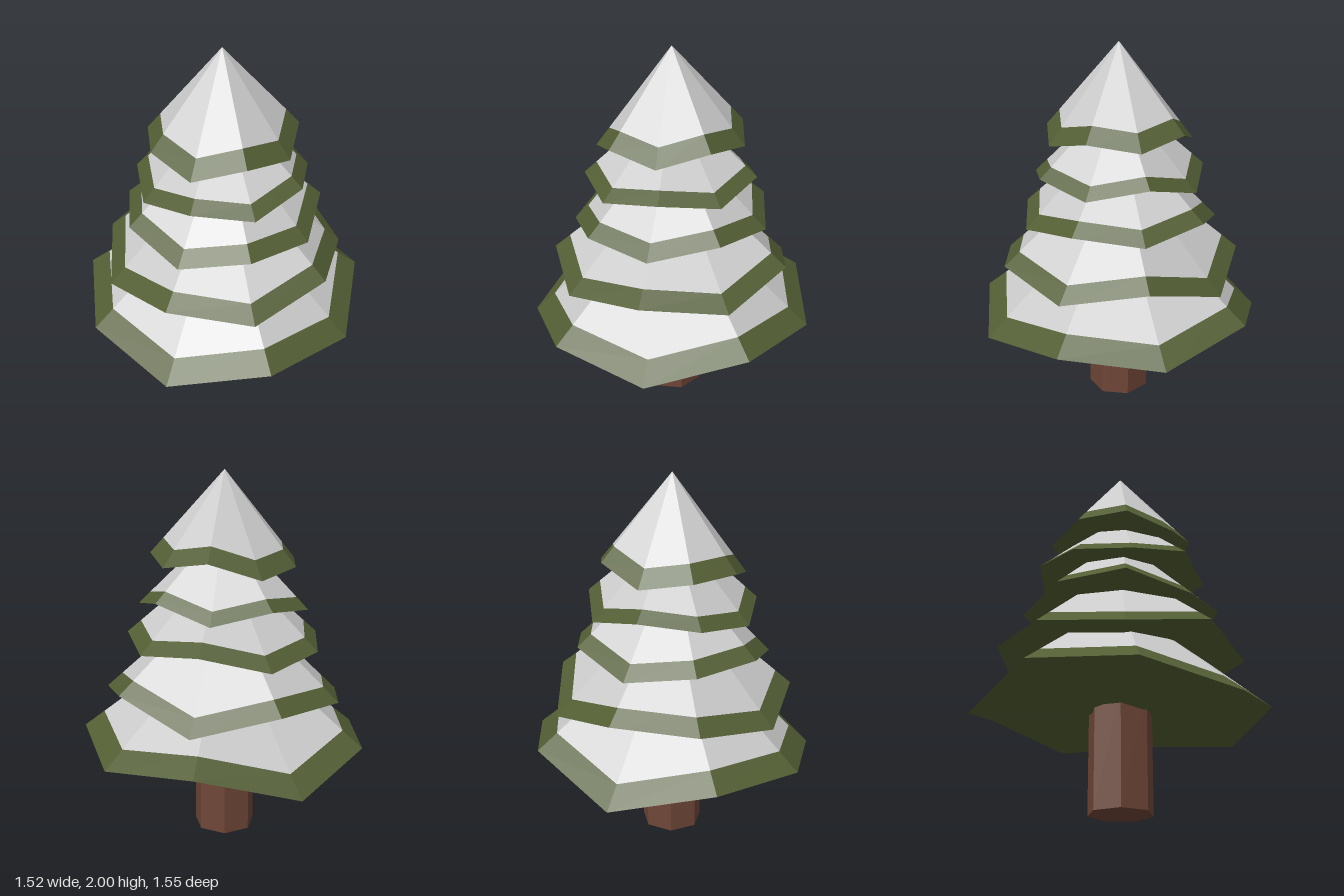
import * as THREE from 'three';

const SIDES = 9;
const CENTRE_X = -0.023;

const snowMat = new THREE.MeshStandardMaterial({ color: 0xcccccc, flatShading: true });
const leafMat = new THREE.MeshStandardMaterial({ color: 0x535e34, flatShading: true });
const barkMat = new THREE.MeshStandardMaterial({ color: 0x6f4637, flatShading: true });

// Each tier: rim radius, turn in degrees, apex height, snow share of the slope, rim heights
const TIERS = [
  { r: 0.785, turn: 0, apex: 1.18, snow: 0.86, rim: [0.525, 0.585, 0.49, 0.545, 0.45, 0.525, 0.565, 0.455, 0.6] },
  { r: 0.658, turn: 4, apex: 1.40, snow: 0.87, rim: [0.89, 0.805, 0.865, 0.785, 0.84, 0.755, 0.82, 0.85, 0.755] },
  { r: 0.533, turn: 3, apex: 1.58, snow: 0.86, rim: [1.085, 1.125, 1.06, 1.09, 1.03, 1.10, 1.08, 1.04, 1.13] },
  { r: 0.462, turn: -2, apex: 1.74, snow: 0.86, rim: [1.355, 1.295, 1.34, 1.285, 1.325, 1.26, 1.29, 1.33, 1.27] },
  { r: 0.396, turn: 1, apex: 2.0, snow: 0.82, rim: [1.525, 1.565, 1.50, 1.545, 1.47, 1.525, 1.515, 1.48, 1.57] },
];

function meshFromTriangles(name, points, material) {
  const geometry = new THREE.BufferGeometry().setFromPoints(points);
  geometry.computeVertexNormals();
  const mesh = new THREE.Mesh(geometry, material);
  mesh.name = name;
  return mesh;
}

function createTier({ r, turn, apex, snow, rim }) {
  const top = new THREE.Vector3(0, apex, 0);
  const base = new THREE.Vector3(0, rim.reduce((a, b) => a + b) / SIDES, 0);

  // Uneven rim, and the snow line part of the way up the slope
  const outer = rim.map((y, k) => {
    const a = THREE.MathUtils.degToRad(turn + (k * 360) / SIDES);
    return new THREE.Vector3(r * Math.cos(a), y, r * Math.sin(a));
  });
  const inner = outer.map((p) => top.clone().lerp(p, snow));

  const snowTris = [];
  const leafTris = [];
  for (let k = 0; k < SIDES; k++) {
    const n = (k + 1) % SIDES;
    snowTris.push(top, inner[n], inner[k]);
    leafTris.push(inner[k], outer[n], outer[k], inner[k], inner[n], outer[n]); // sloped border
    leafTris.push(base, outer[k], outer[n]); // underside
  }

  const group = new THREE.Group();
  group.add(
    meshFromTriangles('snowCap', snowTris, snowMat),
    meshFromTriangles('branchBorder', leafTris, leafMat),
  );
  return group;
}

export function createModel() {
  const tree = new THREE.Group();
  tree.name = 'snowyTree';

  // Seven-sided trunk with a corner towards +x
  const trunk = new THREE.Mesh(
    new THREE.CylinderGeometry(0.17, 0.17, 0.6, 7).rotateY(Math.PI / 2).translate(0, 0.3, 0),
    barkMat,
  );
  trunk.name = 'trunk';
  trunk.position.x = CENTRE_X;
  tree.add(trunk);

  // Stacked branch tiers
  TIERS.forEach((spec, i) => {
    const tier = createTier(spec);
    tier.name = `branchTier${i + 1}`;
    tier.position.x = CENTRE_X;
    tree.add(tier);
  });
  return tree;
}
